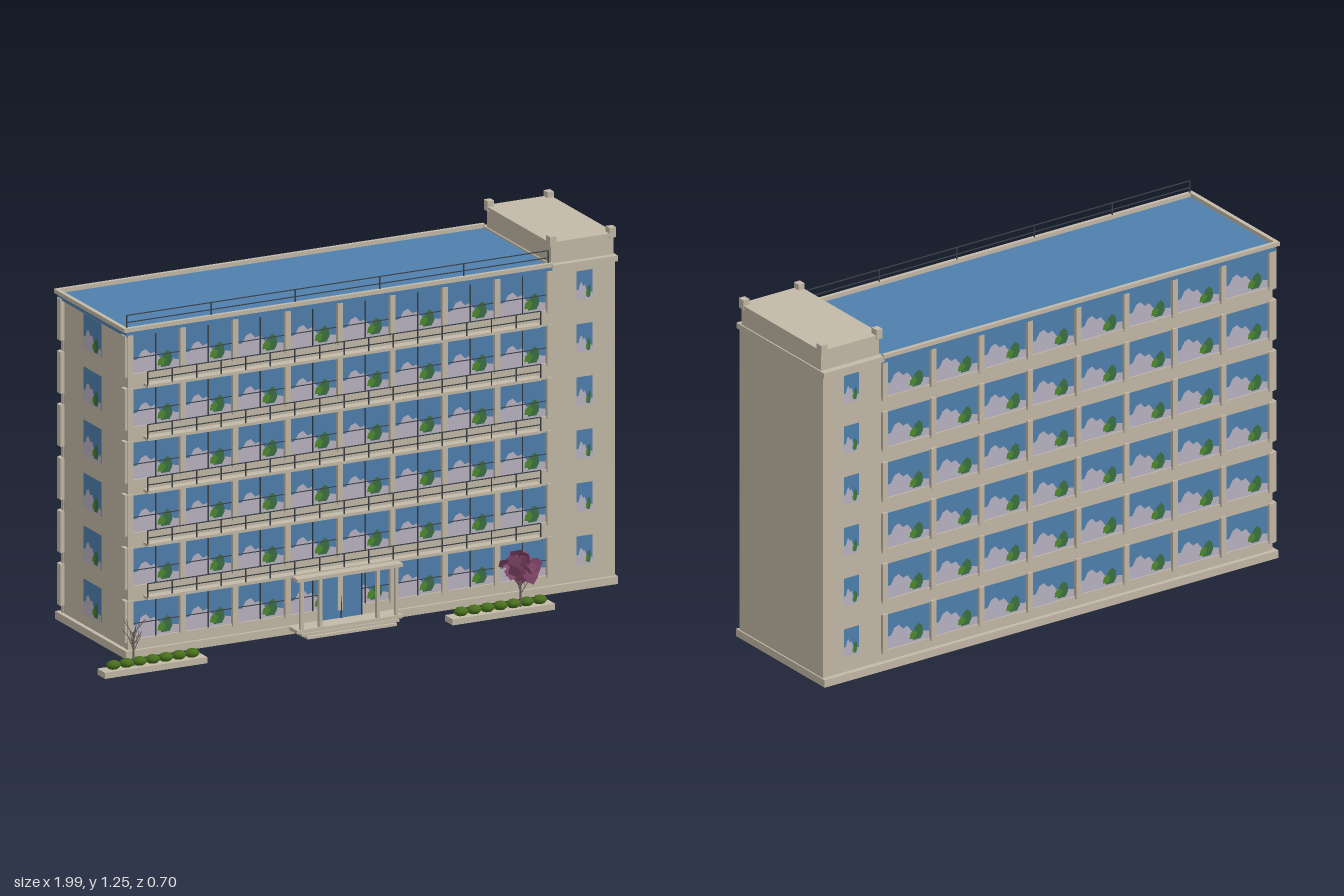
import * as THREE from 'three';

const mat = (name, color, side = THREE.FrontSide) => {
  const m = new THREE.MeshStandardMaterial({ color, side });
  m.name = name;
  return m;
};

export function createModel() {
  const root = new THREE.Group();
  root.name = 'officeBlock';
  const M = {
    stone: mat('stone', 0xc3b9a7),
    glass: mat('blueGlass', 0x4f80ae),
    metal: mat('darkMetal', 0x3a4148),
    curtain: mat('paleCurtain', 0xb9b3c2),
    plant: mat('plantGreen', 0x3c6f45),
    leaf: mat('brightLeaf', 0x4d8a2c),
    bush: mat('bushGreen', 0x48701c),
    blossom: mat('purpleFoliage', 0x8a4a70, THREE.DoubleSide),
    bark: mat('bark', 0x6a625c),
  };

  let seed = 7;
  const rnd = () => (seed = (seed * 16807) % 2147483647) / 2147483647;

  const group = (name, parent = root) => {
    const g = new THREE.Group();
    g.name = name;
    parent.add(g);
    return g;
  };
  // Box given by its minimum and maximum on each axis
  const box = (name, x0, x1, y0, y1, z0, z1, m = M.stone, parent = root) => {
    const b = new THREE.Mesh(new THREE.BoxGeometry(x1 - x0, y1 - y0, z1 - z0), m);
    b.position.set((x0 + x1) / 2, (y0 + y1) / 2, (z0 + z1) / 2);
    b.name = name;
    parent.add(b);
    return b;
  };
  // Thin rod between two points
  const rod = (name, a, b, r, m, parent) => {
    const p = new THREE.Vector3(...a), q = new THREE.Vector3(...b);
    const d = q.clone().sub(p);
    const c = new THREE.Mesh(new THREE.CylinderGeometry(r * 0.7, r, d.length(), 5), m);
    c.position.copy(p).addScaledVector(d, 0.5);
    c.quaternion.setFromUnitVectors(new THREE.Vector3(0, 1, 0), d.normalize());
    c.name = name;
    parent.add(c);
  };

  // Painted window pane: glass with a curtain line and a pot plant
  const paneShapes = {
    glass: [[0, 0], [1, 0], [1, 1], [0, 1]],
    curtain: [[0, 0], [1, 0], [1, 0.2], [0.85, 0.24], [0.72, 0.2], [0.6, 0.32], [0.5, 0.5],
      [0.4, 0.46], [0.3, 0.6], [0.2, 0.55], [0.12, 0.36], [0, 0.34]],
    plant: [[0.62, 0.06], [0.8, 0.06], [0.86, 0.2], [0.84, 0.4], [0.76, 0.5], [0.68, 0.42], [0.6, 0.28]],
    leaf: [[0.54, 0.12], [0.66, 0.1], [0.72, 0.24], [0.64, 0.36], [0.56, 0.26]],
  };
  const paneGeo = {};
  for (const [k, pts] of Object.entries(paneShapes))
    paneGeo[k] = new THREE.ShapeGeometry(new THREE.Shape(pts.map(p => new THREE.Vector2(...p))));
  const pane = (parent, x, y, z, w, h, turn = 0) => {
    const g = group('window', parent);
    g.position.set(x, y, z);
    g.rotation.y = turn;
    Object.keys(paneGeo).forEach((k, i) => {
      const m = new THREE.Mesh(paneGeo[k], M[k]);
      m.scale.set(w, h, 1);
      m.position.z = i * 0.001;
      m.name = k + 'Pane';
      g.add(m);
    });
  };

  // Core volumes
  box('plinth', -0.85, 0.99, 0.008, 0.035, -0.353, 0.16);
  box('mainCore', -0.835, 0.75, 0.035, 1.125, -0.33, 0.14);
  box('stairTower', 0.75, 0.985, 0.035, 1.13, -0.335, 0.148);
  box('towerLedge', 0.745, 0.99, 1.13, 1.15, -0.35, 0.158);
  box('towerCap', 0.75, 0.985, 1.15, 1.215, -0.325, 0.137);
  box('towerRoof', 0.744, 0.989, 1.215, 1.225, -0.331, 0.142);
  for (const x of [0.755, 0.978]) for (const z of [0.13, -0.32])
    box('towerFinial', x - 0.012, x + 0.012, 1.21, 1.245, z - 0.014, z + 0.014);

  // Flat blue roof with a thin stone rim
  box('roof', -0.845, 0.75, 1.125, 1.143, -0.347, 0.15, M.glass);
  const rim = group('roofRim');
  box('rimFront', -0.855, 0.75, 1.143, 1.157, 0.142, 0.156, M.stone, rim);
  box('rimBack', -0.855, 0.75, 1.143, 1.157, -0.354, -0.34, M.stone, rim);
  box('rimSide', -0.855, -0.84, 1.143, 1.157, -0.354, 0.156, M.stone, rim);

  // Railing with posts and two rails along x
  const railing = (name, x0, x1, y0, height, z, posts) => {
    const g = group(name);
    for (const f of [0.45, 1])
      box('rail', x0, x1, y0 + height * f - 0.0015, y0 + height * f + 0.0015, z - 0.0015, z + 0.0015, M.metal, g);
    for (let i = 0; i < posts; i++) {
      const x = x0 + (x1 - x0) * i / (posts - 1);
      box('railPost', x - 0.0018, x + 0.0018, y0, y0 + height, z - 0.0018, z + 0.0018, M.metal, g);
    }
  };
  railing('roofRailing', -0.84, 0.735, 1.155, 0.045, 0.146, 6);

  // Six storeys: bands, columns, windows and balconies
  const pitch = 0.1845, bay = 0.196, firstX = -0.83, bays = 8, winH = 0.13;
  for (let f = 0; f < 6; f++) {
    const y = 0.071 + f * pitch, top = y + winH;
    const floor = group('storey' + (f + 1));
    const bandLow = f ? y - pitch + winH : 0.035;
    box('frontBand', -0.837, 0.75, bandLow, y, 0.13, 0.149, M.stone, floor);
    box('backBand', -0.837, 0.75, bandLow, y, -0.337, -0.32, M.stone, floor);

    for (let i = 0; i <= bays; i++) {
      const x = firstX + i * bay;
      box('frontColumn', x - 0.01, x + 0.01, y - 0.008, top + 0.006, 0.13, 0.155, M.stone, floor);
      box('backColumn', x - 0.01, x + 0.01, y - 0.008, top + 0.006, -0.345, -0.32, M.stone, floor);
      if (i === bays) break;
      pane(floor, x + 0.01, y, 0.141, bay - 0.02, winH);
      pane(floor, x + bay - 0.01, y, -0.331, bay - 0.02, winH, Math.PI);
      const mx = x + bay / 2;
      box('mullion', mx - 0.0015, mx + 0.0015, y, top, 0.142, 0.147, M.metal, floor);
      box('transom', x + 0.01, x + bay - 0.01, y + 0.052, y + 0.054, 0.142, 0.147, M.metal, floor);
    }
    // Corner piers wrapping onto the end wall
    for (const z of [-0.33, 0.135])
      box('cornerPier', -0.85, -0.83, y - 0.008, top + 0.006, z - 0.012, z + 0.015, M.stone, floor);

    // End wall and tower windows
    pane(floor, -0.8365, y + 0.005, -0.175, 0.13, winH - 0.01, -Math.PI / 2);
    pane(floor, 0.84, y + 0.02, 0.149, 0.06, 0.1);
    pane(floor, 0.90, y + 0.02, -0.336, 0.06, 0.1, Math.PI);

    if (f) {
      const by = 0.215 + (f - 1) * pitch;
      box('balconySlab', -0.78, 0.69, by - 0.005, by + 0.005, 0.14, 0.181, M.stone, floor);
      railing('balconyRailing', -0.78, 0.69, by + 0.005, 0.047, 0.179, 17);
    }
  }

  // Entrance porch and steps
  const porch = group('entrancePorch');
  box('canopy', -0.24, 0.155, 0.203, 0.215, 0.145, 0.218, M.stone, porch);
  for (const x of [-0.22, -0.15, 0.065, 0.135])
    box('porchPost', x - 0.006, x + 0.006, 0.036, 0.204, 0.203, 0.214, M.stone, porch);
  box('porchLanding', -0.24, 0.155, 0.024, 0.036, 0.145, 0.216, M.stone, porch);
  box('middleStep', -0.225, 0.14, 0.015, 0.024, 0.145, 0.222, M.stone, porch);
  box('lowerStep', -0.21, 0.125, 0.006, 0.015, 0.145, 0.233, M.stone, porch);
  box('door', -0.12, 0.035, 0.036, 0.19, 0.146, 0.152, M.glass, porch);
  for (const x of [-0.12, -0.0425, 0.035])
    box('doorFrame', x - 0.002, x + 0.002, 0.036, 0.19, 0.146, 0.155, M.metal, porch);

  // Planters with clipped bushes
  const bushGeo = new THREE.IcosahedronGeometry(1, 1);
  for (const x0 of [-1, 0.3]) {
    const planter = group('planter');
    box('planterBox', x0, x0 + 0.383, 0, 0.021, 0.241, 0.297, M.stone, planter);
    for (let i = 0; i < 7; i++) {
      const b = new THREE.Mesh(bushGeo, M.bush);
      b.position.set(x0 + 0.045 + i * 0.049, 0.035, 0.27);
      b.scale.set(0.026, 0.016, 0.022);
      b.name = 'bush';
      planter.add(b);
    }
  }

  // Trunk with branches fanning out from it
  const tree = (name, x, z, height, spread, count, m) => {
    const g = group(name);
    g.position.set(x, 0.02, z);
    rod('trunk', [0, 0, 0], [0, height * 0.7, 0], 0.004, m, g);
    for (let i = 0; i < count; i++) {
      const a = i * 2.4, h = height * (0.3 + 0.4 * i / count), s = spread * (0.6 + 0.4 * rnd());
      const tip = [Math.cos(a) * s, h + height * 0.3, Math.sin(a) * s];
      rod('branch', [0, h, 0], tip, 0.0017, m, g);
      rod('twig', [tip[0] * 0.5, h + height * 0.15, tip[2] * 0.5],
        [tip[0] * 0.45, h + height * 0.32, tip[2] * 0.95], 0.001, m, g);
    }
    return g;
  };
  tree('bareTree', -0.88, 0.27, 0.17, 0.045, 9, M.bark);
  const leafy = tree('purpleTree', 0.565, 0.275, 0.15, 0.04, 6, M.bark);

  // Crown of angular leaf plates
  const plate = new THREE.ShapeGeometry(new THREE.Shape(
    [[-0.5, -0.4], [0.4, -0.5], [0.55, 0.3], [0, 0.5], [-0.45, 0.35]].map(p => new THREE.Vector2(...p))));
  for (let i = 0; i < 46; i++) {
    const u = 1 - 2 * (i + 0.5) / 46, r = Math.sqrt(1 - u * u), a = i * 2.4, k = 0.55 + 0.4 * rnd();
    const p = new THREE.Mesh(plate, M.blossom);
    p.position.set(Math.cos(a) * r * 0.055 * k, 0.14 + u * 0.05 * k, Math.sin(a) * r * 0.062 * k);
    p.rotation.set(rnd() * 6, rnd() * 6, rnd() * 6);
    p.scale.setScalar(0.035 + 0.014 * rnd());
    p.name = 'leafPlate';
    leafy.add(p);
  }
  return root;
}
